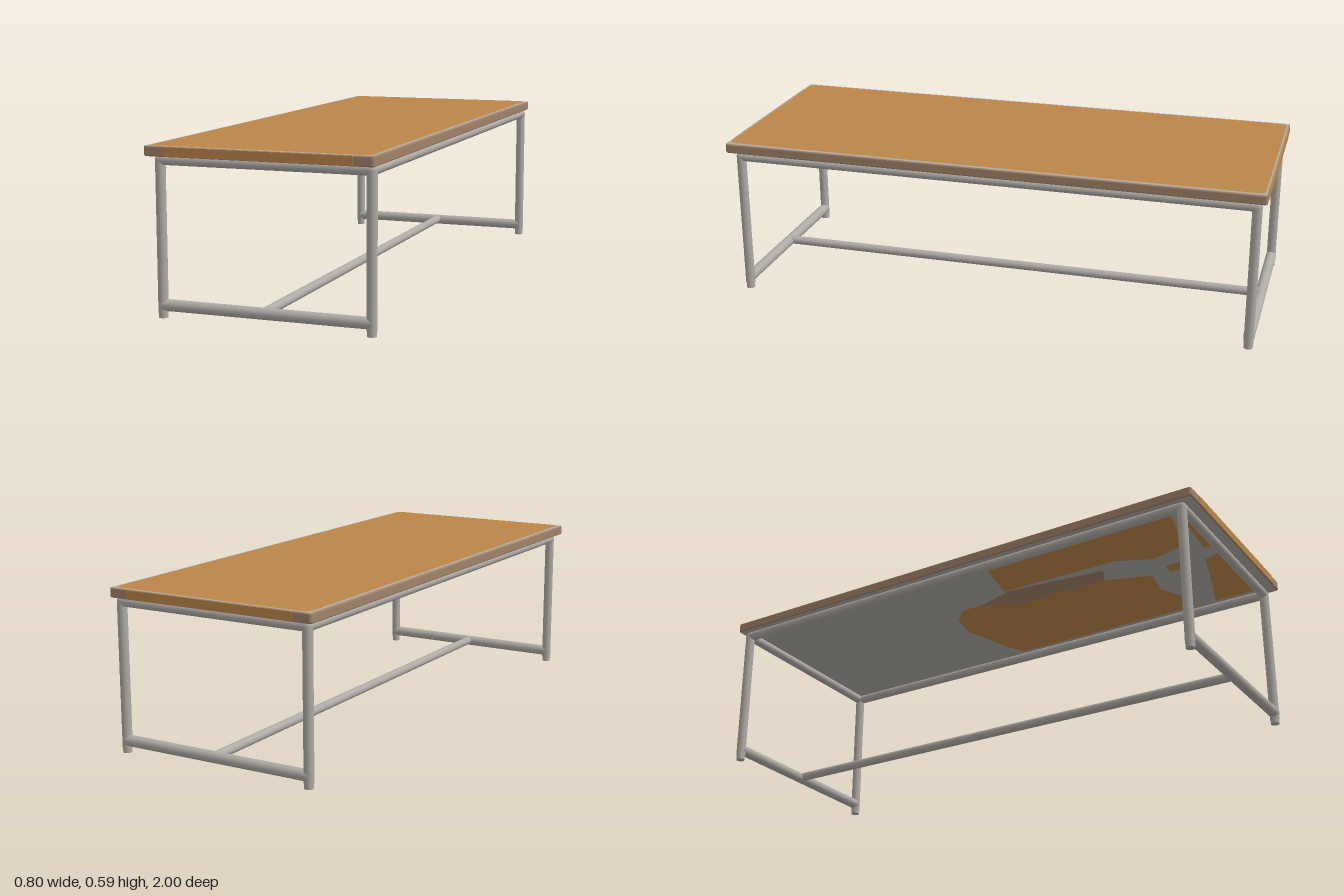
import * as THREE from 'three';

function material(name, color) {
  const m = new THREE.MeshStandardMaterial({ color });
  m.name = name;
  return m;
}
const steel = material('grey steel', 0xaeaaa5);
const wood = material('brown wood', 0xbb8549);
const worn = material('worn grey brown', 0xa08268);

// Tube positions: leg centres across x and along z
const LEG_X = [-0.367, 0.377];
const LEG_Z = [-0.964, 0.947];
const RAIL_Y = 0.534;
const R = 0.0175;

function add(parent, name, geometry, mat) {
  const mesh = new THREE.Mesh(geometry, mat);
  mesh.name = name;
  parent.add(mesh);
  return mesh;
}

// Round tube between two points
function tube(parent, name, a, b, radius) {
  const from = new THREE.Vector3(...a), to = new THREE.Vector3(...b);
  const dir = to.clone().sub(from);
  const mesh = add(parent, name, new THREE.CylinderGeometry(radius, radius, dir.length(), 20), steel);
  mesh.position.copy(from).add(to).multiplyScalar(0.5);
  mesh.quaternion.setFromUnitVectors(new THREE.Vector3(0, 1, 0), dir.normalize());
}

function roundedRect(hw, hd, r) {
  const s = new THREE.Shape();
  s.absarc(hw - r, hd - r, r, 0, Math.PI / 2);
  s.absarc(r - hw, hd - r, r, Math.PI / 2, Math.PI);
  s.absarc(r - hw, r - hd, r, Math.PI, Math.PI * 1.5);
  s.absarc(hw - r, r - hd, r, Math.PI * 1.5, Math.PI * 2);
  s.closePath();
  return s;
}

// Flat shape in the x-z plane, facing up (or down)
function plate(parent, name, shape, y, facingDown, mat) {
  const g = new THREE.ShapeGeometry(shape, 6);
  g.rotateX(facingDown ? Math.PI / 2 : -Math.PI / 2);
  add(parent, name, g, mat).position.y = y;
}

export function createModel() {
  const table = new THREE.Group();
  table.name = 'table';

  // Table top: worn edge, grey faces, wooden surface inset from the rim
  const top = new THREE.Group();
  top.name = 'tableTop';
  table.add(top);
  const bevel = 0.005;
  const slab = new THREE.ExtrudeGeometry(roundedRect(0.402 - bevel, 0.999 - bevel, 0.006), {
    depth: 0.035 - 2 * bevel, bevelSize: bevel, bevelThickness: bevel, bevelSegments: 3, curveSegments: 4,
  });
  slab.rotateX(-Math.PI / 2);
  add(top, 'slab', slab, [steel, worn]).position.y = 0.55 + bevel;
  plate(top, 'woodSurface', roundedRect(0.386, 0.988, 0.025), 0.5865, false, wood);

  // Wooden middle of each end edge
  for (const z of [-0.998, 0.998]) {
    add(top, 'endEdge', new THREE.BoxGeometry(0.66, 0.031, 0.004), wood).position.set(0, 0.5675, z);
  }

  // Bare patches on the underside, as x, z outlines
  const patches = [
    [wood, [[0.35, -0.1], [0.28, -0.14], [0.08, -0.2], [-0.03, -0.18], [-0.09, -0.12], [-0.09, -0.03],
      [-0.02, 0.1], [-0.02, 0.47], [0.04, 0.64], [0.15, 0.62], [0.28, 0.68], [0.35, 0.66]]],
    [wood, [[0.35, 0.76], [0.23, 0.8], [0.03, 0.86], [0, 0.94], [0.35, 0.94]]],
    [wood, [[-0.14, 0.1], [-0.35, 0.14], [-0.35, 0.82], [-0.31, 0.88], [-0.11, 0.84], [-0.07, 0.7],
      [-0.13, 0.57]]],
    [wood, [[-0.05, 0.89], [-0.3, 0.91], [-0.3, 0.94], [-0.05, 0.94]]],
    [wood, [[0.05, 0.71], [0, 0.71], [0, 0.79], [0.05, 0.79]]],
    [worn, [[-0.02, 0.1], [-0.09, -0.03], [-0.135, 0.12], [-0.09, 0.5], [-0.02, 0.47]]],
  ];
  for (const [mat, outline] of patches) {
    const shape = new THREE.Shape(outline.map(([x, z]) => new THREE.Vector2(x, z)));
    plate(top, 'undersidePatch', shape, 0.5485, true, mat);
  }

  // Steel frame: legs with rounded upper corners
  const frame = new THREE.Group();
  frame.name = 'frame';
  table.add(frame);
  for (const x of LEG_X) {
    for (const z of LEG_Z) {
      tube(frame, 'leg', [x, 0.018, z], [x, RAIL_Y, z], R);
      tube(frame, 'foot', [x, 0, z], [x, 0.02, z], 0.016);
      add(frame, 'corner', new THREE.SphereGeometry(R, 20, 12), steel).position.set(x, RAIL_Y, z);
    }
    tube(frame, 'sideRail', [x, RAIL_Y, LEG_Z[0]], [x, RAIL_Y, LEG_Z[1]], R);
  }

  // End rails above and below, joined by the long centre stretcher
  for (const z of LEG_Z) {
    tube(frame, 'upperEndRail', [LEG_X[0], RAIL_Y, z], [LEG_X[1], RAIL_Y, z], R);
    tube(frame, 'lowerEndRail', [LEG_X[0], 0.043, z], [LEG_X[1], 0.043, z], 0.02);
  }
  tube(frame, 'stretcher', [0.003, 0.046, LEG_Z[0]], [0.003, 0.046, LEG_Z[1]], 0.0165);

  return table;
}
